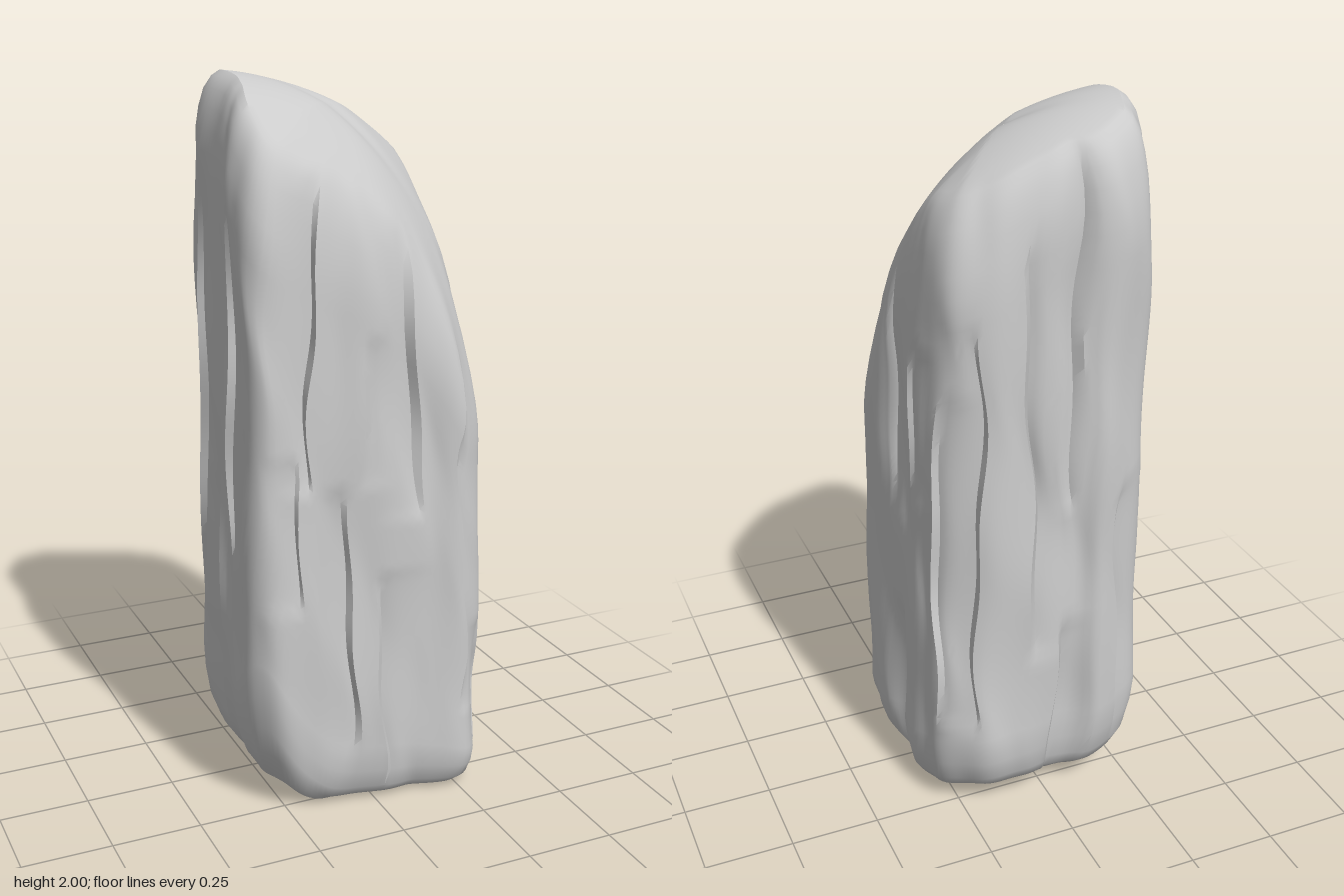
import * as THREE from 'three';
import { toCreasedNormals } from 'three/addons/utils/BufferGeometryUtils.js';

const COLUMNS = 160;

// Plan outline of the stone, counter-clockwise seen from above: [x, z]
const OUTLINE = [
  [-0.13, -0.38], [-0.21, -0.365], [-0.28, -0.315], [-0.31, -0.24], [-0.335, -0.14], [-0.33, 0],
  [-0.345, 0.1], [-0.36, 0.2], [-0.35, 0.29], [-0.315, 0.335], [-0.2, 0.345], [-0.12, 0.345],
  [0, 0.365], [0.15, 0.37], [0.265, 0.385], [0.335, 0.315], [0.355, 0.2], [0.36, 0.12],
  [0.34, 0], [0.35, -0.12], [0.345, -0.2], [0.33, -0.275], [0.23, -0.355], [0, -0.365], [-0.08, -0.36],
];
const plan = new THREE.CatmullRomCurve3(OUTLINE.map(([x, z]) => new THREE.Vector3(x, 0, z)), true);
plan.arcLengthDivisions = 500;

// Column of the grid nearest to a point on the outline
function columnAt(x, z) {
  const target = new THREE.Vector3(x, 0, z);
  let best = 0, nearest = Infinity;
  for (let j = 0; j < COLUMNS; j++) {
    const d = plan.getPointAt(j / COLUMNS).distanceTo(target);
    if (d < nearest) { nearest = d; best = j; }
  }
  return best;
}

// Vertical fractures: [x, z, bottom, top, depth, width in columns, side the ledge fades towards]
const CRACKS = [
  // front
  [-0.19, 0.34, 0.95, 1.76, 0.04, 7, -1], [-0.25, 0.34, 0.62, 1.05, 0.02, 6, -1],
  [-0.08, 0.35, 0.15, 0.95, 0.025, 6, -1], [0.0, 0.36, 0.05, 0.7, 0.018, 8, 1],
  [0.12, 0.36, 0.85, 1.62, 0.028, 7, -1], [0.24, 0.37, 0.25, 1.3, 0.02, 6, 1], [-0.07, 0.35, 0.95, 1.35, 0.012, 5, 1],
  // right side
  [0.34, 0.07, 0.85, 1.55, 0.016, 9, 1], [0.34, -0.14, 0.95, 1.4, 0.016, 8, 1], [0.34, -0.26, 0.3, 1.3, 0.024, 8, 1],
  [0.34, -0.06, 0.02, 0.55, 0.02, 7, -1], [0.34, 0.3, 0.03, 0.5, 0.016, 5, -1],
  // back
  [0.22, -0.35, 0.3, 1.5, 0.024, 8, -1], [0.08, -0.36, 0.5, 1.7, 0.036, 6, 1], [-0.08, -0.36, 0.95, 1.9, 0.03, 6, -1],
  [0.0, -0.36, 0.02, 0.6, 0.028, 6, 1], [-0.2, -0.37, 0.15, 1.0, 0.024, 7, 1],
  // left side
  [-0.34, -0.2, 0.5, 1.8, 0.024, 8, 1], [-0.34, -0.04, 0.1, 0.9, 0.02, 7, -1],
  [-0.35, 0.1, 0.7, 1.7, 0.024, 8, 1], [-0.35, 0.24, 0.1, 1.1, 0.016, 8, -1],
].map(([x, z, y0, y1, depth, width, side]) => ({ column: columnAt(x, z), y0, y1, depth, width, side }));

const pos = (v) => Math.max(0, v);

// Height of the sloping crown: highest at the back left, cut low at the front right corner
function crown(x, z) {
  const u = x + 0.26, v = z + 0.1;
  const slope = 2.0 - 0.1 * u - 0.6 * u * u - (v > 0 ? 1.4 : 1.0) * v * v;
  const corner = 6 * pos(x) ** 2 * pos(v) + 0.17 * pos(x + z);
  // shallow oblique hollow running down the slope
  const across = (z + 0.03) * 0.83 - (x + 0.05) * 0.56;
  const along = (x + 0.05) * 0.83 + (z + 0.03) * 0.56;
  const hollow = 0.012 * Math.exp(-((across / 0.035) ** 2) - ((along - 0.1) / 0.15) ** 2);
  return slope - corner - hollow;
}

// Underside, curving up towards the back, the left and the front left corner
const underside = (x, z) =>
  0.3 * pos(-z - 0.12) + 2.6 * pos(-x - 0.13) ** 2 + 3 * pos(z - x - 0.4) ** 2;

// How far the fractures and weathering push the wall inwards
function wear(column, y) {
  const a = 2 * Math.PI * column / COLUMNS;
  let d = 0.007 + 0.006 * Math.sin(a * 7 + 2 * y) * Math.sin(y * 4.1 + a * 2)
        + 0.003 * Math.sin(a * 17 - y * 1.5) + 0.004 * Math.sin(y * 10 + a * 5);
  for (const c of CRACKS) {
    if (y < c.y0 || y > c.y1) continue;
    const steps = ((column - c.column) * c.side + COLUMNS) % COLUMNS;
    if (steps < 1 || steps > c.width) continue;
    const fade = Math.sqrt(Math.sin(Math.PI * (y - c.y0) / (c.y1 - c.y0)));
    d += c.depth * fade * (1 - (steps - 1) / c.width);
  }
  return d;
}

// Columns wander sideways with height, so that the fractures do too
function wander(column, y) {
  const u = column / COLUMNS;
  const shift = 0.006 * Math.sin(5 * y + 10 * Math.PI * u) + 0.003 * Math.sin(13 * y + 18 * Math.PI * u);
  return (u + shift + 1) % 1;
}

function stoneGeometry() {
  // Rings from the base centre, up the wall, over the crown: [height fraction, scale]
  const rings = [[0, 0.002], [0, 0.3], [0, 0.6], [0.002, 0.78], [0.012, 0.88], [0.03, 0.94], [0.065, 0.98]];
  for (let i = 0; i <= 48; i++) rings.push([0.1 + 0.76 * i / 48, 1]);
  rings.push([0.89, 0.995], [0.92, 0.98], [0.95, 0.95], [0.975, 0.91], [0.992, 0.85]);
  for (let i = 0; i <= 14; i++) rings.push([1, Math.max(0.002, 0.79 * (1 - i / 14))]);

  const vertices = [], index = [];
  rings.forEach(([t, scale], i) => {
    for (let j = 0; j < COLUMNS; j++) {
      const p = plan.getPointAt(wander(j, 1.8 * t));
      // the wall leans in with height, most of all at the back right corner
      const lean = 1 - 0.25 * t * pos(p.x - p.z - 0.35);
      const x = p.x * scale * lean * (1 - 0.09 * t * pos(p.x) / 0.36);
      const z = p.z * scale * lean * (1 - 0.04 * t);
      const low = underside(x, z);
      const y = low + (crown(x, z) - low) * t;
      const k = 1 - wear(j, y) * THREE.MathUtils.smoothstep(scale, 0.6, 0.95) / p.length();
      vertices.push(x * k, y, z * k);
      if (i === rings.length - 1) continue;
      const a = i * COLUMNS + j, b = i * COLUMNS + (j + 1) % COLUMNS;
      index.push(a, b, b + COLUMNS, a, b + COLUMNS, a + COLUMNS);
    }
  });

  const geometry = new THREE.BufferGeometry();
  geometry.setAttribute('position', new THREE.Float32BufferAttribute(vertices, 3));
  geometry.setIndex(index);
  return toCreasedNormals(geometry, 0.6);
}

export function createModel() {
  const group = new THREE.Group();
  group.name = 'standingStone';
  const stone = new THREE.Mesh(stoneGeometry(), new THREE.MeshStandardMaterial({ color: 0xcccccc }));
  stone.name = 'rock';
  group.add(stone);
  return group;
}
